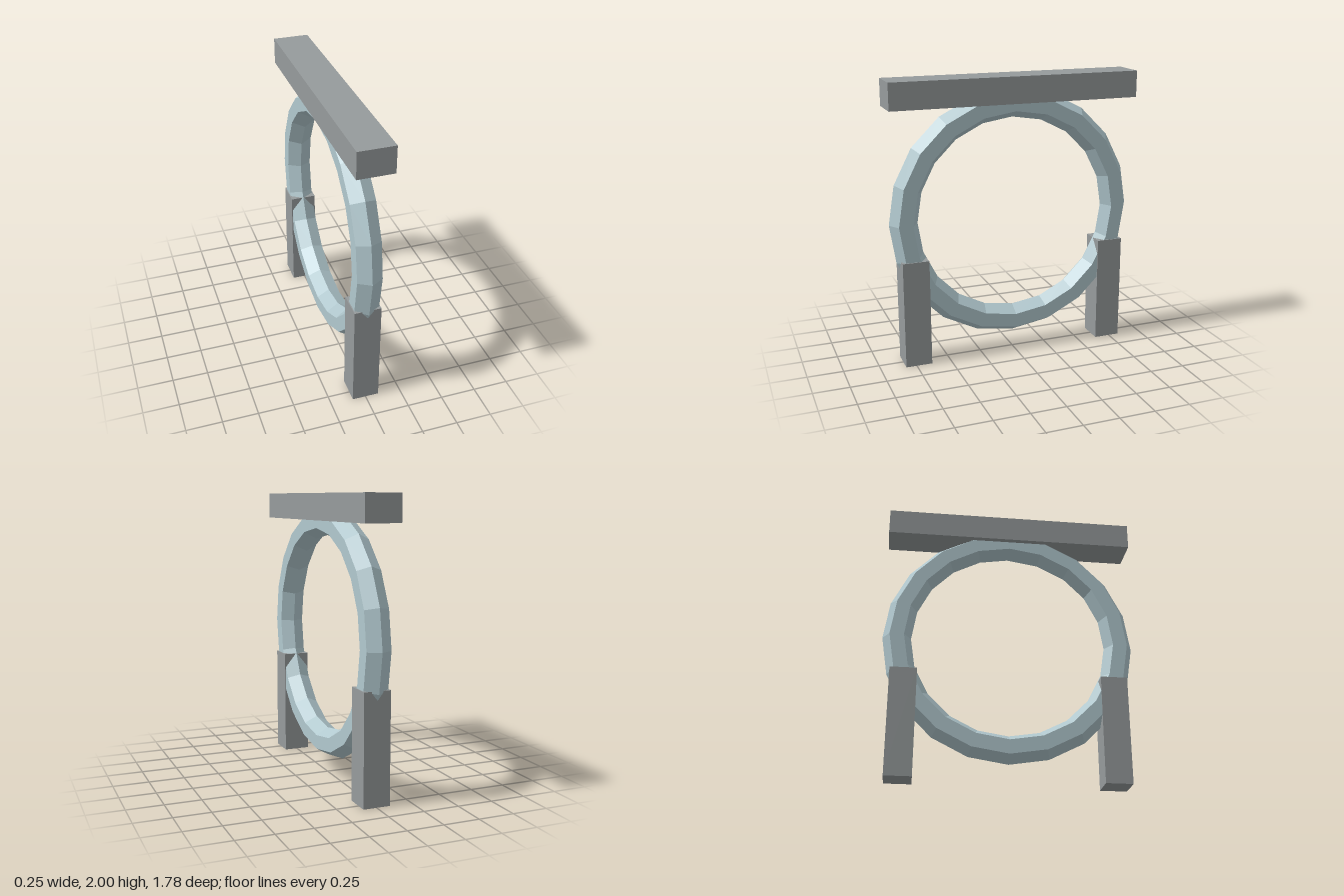
import * as THREE from 'three';

export function createModel() {
  const model = new THREE.Group();
  const stone = new THREE.MeshStandardMaterial({ color: 0x969b9c, flatShading: true });
  stone.name = 'grey stone';
  const paleBlue = new THREE.MeshStandardMaterial({ color: 0xb2c9cf, flatShading: true });
  paleBlue.name = 'pale blue';

  const add = (name, geometry, material, y, z = 0) => {
    const mesh = new THREE.Mesh(geometry, material);
    mesh.name = name;
    mesh.position.set(0, y, z);
    model.add(mesh);
    return mesh;
  };

  // Six-sided ring standing in the side plane
  const ring = new THREE.TorusGeometry(0.79, 0.1, 6, 20);
  ring.rotateY(Math.PI / 2);
  add('ring', ring, paleBlue, 1.02);

  // Long beam resting over the ring
  add('topBeam', new THREE.BoxGeometry(0.25, 0.185, 1.775), stone, 1.9075);

  // Posts holding the ring at front and back
  const post = new THREE.BoxGeometry(0.187, 0.765, 0.187);
  add('frontPost', post, stone, 0.3825, 0.732);
  add('backPost', post, stone, 0.3825, -0.732);

  return model;
}
